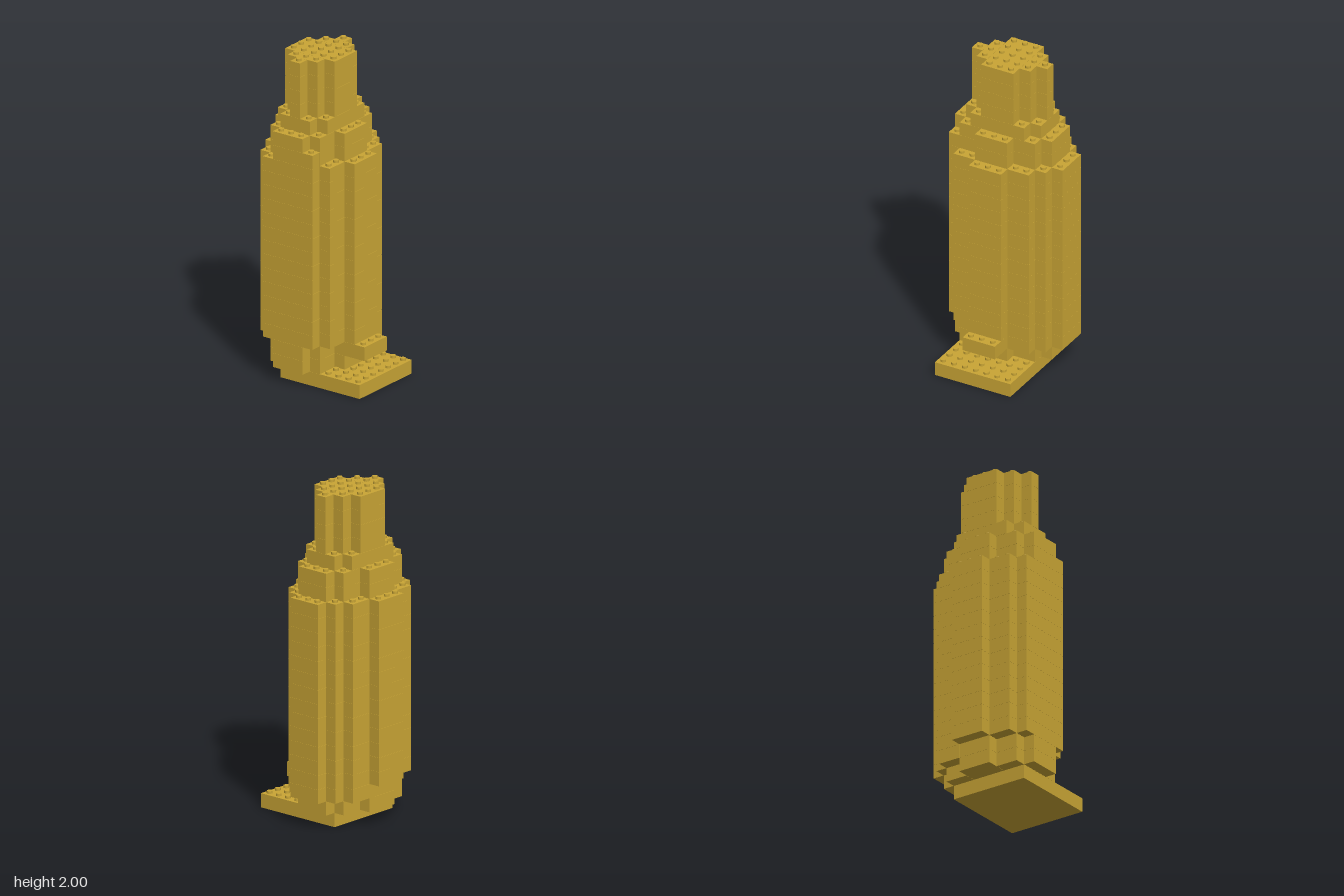
import * as THREE from 'three';
import { mergeGeometries } from 'three/addons/utils/BufferGeometryUtils.js';

const P = 0.0718;   // grid pitch
const H = 0.0863;   // brick height
const GAP = 0.0006; // half of the seam between bricks
const STUD_R = 0.0167, STUD_H = 0.0151;
const edgeX = c => (c - 5.5) * P;
const edgeZ = r => (r - 5) * P;

// Plans: each entry is [first row, last row, first column, last column]
const basePlan = [[2, 8, 3, 10]];
const footPlan = [[1, 1, 3, 5], [2, 3, 2, 6], [4, 6, 1, 7], [7, 8, 2, 6], [9, 9, 3, 5]];
const ledgePlan = [[0, 0, 3, 5], [1, 1, 2, 6], [2, 3, 1, 7], [4, 6, 1, 9], [7, 8, 2, 6], [9, 9, 3, 5]];
const shaftPlan = [[0, 0, 3, 5], [1, 1, 2, 6], [2, 3, 1, 7], [4, 6, 0, 8], [7, 8, 1, 7], [9, 9, 2, 6]];
const shoulderPlan = [[1, 1, 3, 5], [2, 3, 2, 6], [4, 6, 1, 7], [7, 8, 2, 6], [9, 9, 3, 6]];
const collarPlan = [[2, 2, 3, 5], [3, 7, 2, 6], [8, 8, 3, 5]];
const crownPlan = [[2, 2, 4, 4], [3, 3, 3, 5], [4, 6, 2, 6], [7, 7, 3, 5], [8, 8, 4, 4]];

// Sections from the ground up, with their number of brick courses
const sections = [
  ['basePlate', basePlan, 1],
  ['foot', footPlan, 1],
  ['ledge', ledgePlan, 1],
  ['shaft', shaftPlan, 13],
  ['lowerShoulder', shoulderPlan, 1],
  ['upperShoulder', footPlan, 1],
  ['collar', collarPlan, 1],
  ['crown', crownPlan, 4],
];

const covers = (plan, r, c) =>
  plan.some(([r0, r1, c0, c1]) => r >= r0 && r <= r1 && c >= c0 && c <= c1);

// One course of bricks following a plan
function courseBricks(plan, level) {
  return plan.map(([r0, r1, c0, c1]) => {
    const w = (c1 - c0 + 1) * P, d = (r1 - r0 + 1) * P;
    const g = new THREE.BoxGeometry(w - 2 * GAP, H - GAP, d - 2 * GAP);
    return g.translate(edgeX(c0) + w / 2, (level + 0.5) * H, edgeZ(r0) + d / 2);
  });
}

// Studs on every cell left open by the section above
function openStuds(plan, above, y) {
  const studs = [];
  for (const [r0, r1, c0, c1] of plan)
    for (let r = r0; r <= r1; r++)
      for (let c = c0; c <= c1; c++) {
        if (covers(above, r, c)) continue;
        const g = new THREE.CylinderGeometry(STUD_R, STUD_R, STUD_H, 16);
        studs.push(g.translate(edgeX(c + 0.5), y + STUD_H / 2 - GAP / 2, edgeZ(r + 0.5)));
      }
  return studs;
}

export function createModel() {
  const model = new THREE.Group();
  model.name = 'brickTower';
  const gold = new THREE.MeshStandardMaterial({ color: 0xc9a535 });
  gold.name = 'gold';

  const add = (parent, name, parts) => {
    if (!parts.length) return;
    const mesh = new THREE.Mesh(mergeGeometries(parts), gold);
    mesh.name = name;
    parent.add(mesh);
  };

  let level = 0;
  sections.forEach(([name, plan, courses], i) => {
    const section = new THREE.Group();
    section.name = name;
    const bricks = [];
    for (let k = 0; k < courses; k++) bricks.push(...courseBricks(plan, level + k));
    level += courses;
    const above = i + 1 < sections.length ? sections[i + 1][1] : [];
    add(section, name + 'Bricks', bricks);
    add(section, name + 'Studs', openStuds(plan, above, level * H));
    model.add(section);
  });
  return model;
}
